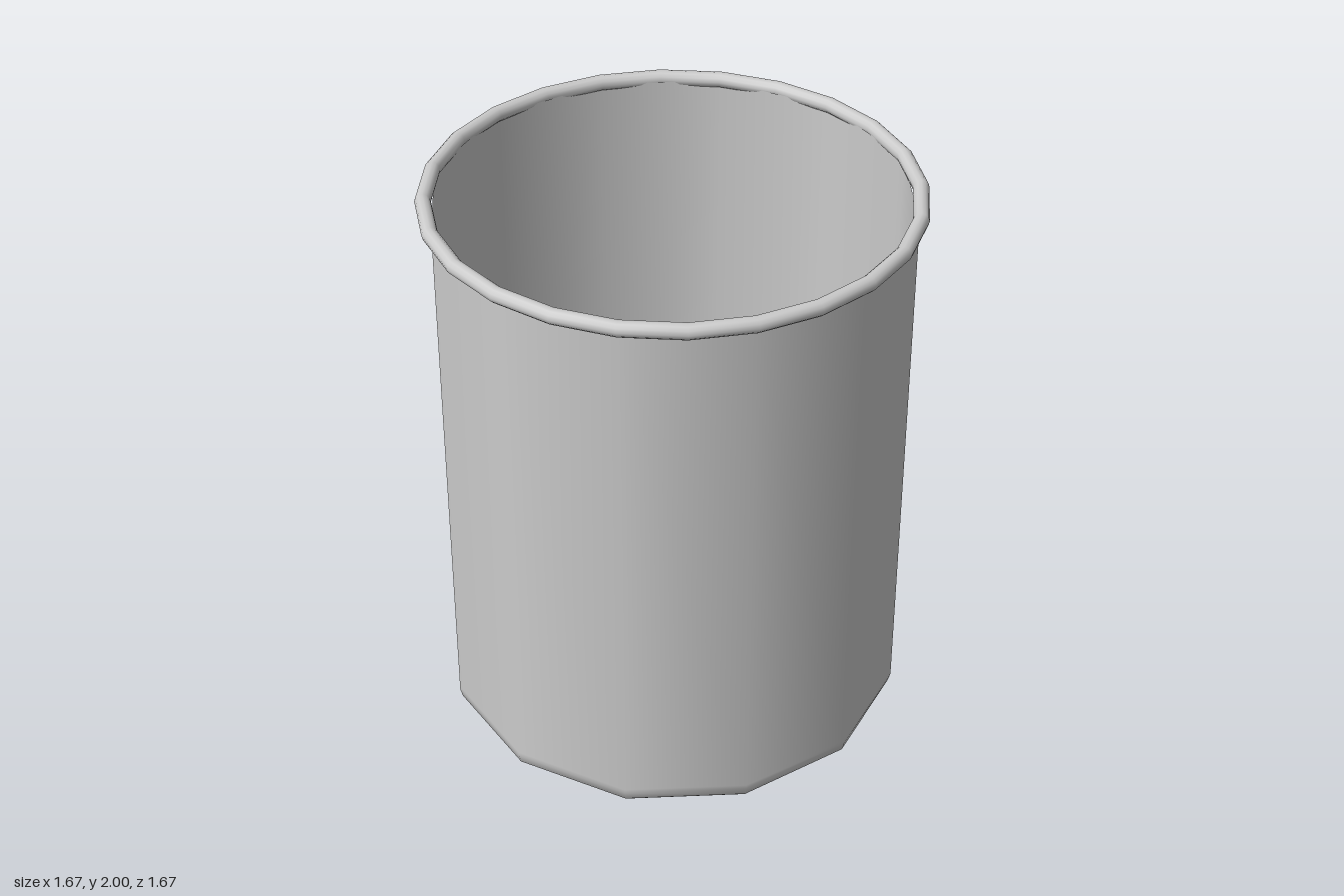
import * as THREE from 'three';

const deg = THREE.MathUtils.degToRad;

export function createModel() {
  const model = new THREE.Group();
  const material = new THREE.MeshStandardMaterial({ color: 0xcccccc, side: THREE.DoubleSide });

  // Thin twelve-sided wall and floor, joined by a small rounded corner
  const profile = [
    [0, 0], [0.735, 0], [0.75, 0.003], [0.775, 0.011], [0.797, 0.032], [0.806, 0.065], [0.806, 0.08], [0.806, 1.97],
  ].map(([r, y]) => new THREE.Vector2(r, y));
  const body = new THREE.Mesh(new THREE.LatheGeometry(profile, 12, deg(13)), material);
  body.name = 'body';
  model.add(body);

  // Rolled rim
  const rimGeometry = new THREE.TorusGeometry(0.811, 0.027, 12, 24);
  rimGeometry.rotateZ(deg(2)).rotateX(Math.PI / 2);
  const rim = new THREE.Mesh(rimGeometry, material);
  rim.name = 'rim';
  rim.position.y = 1.973;
  model.add(rim);

  return model;
}
